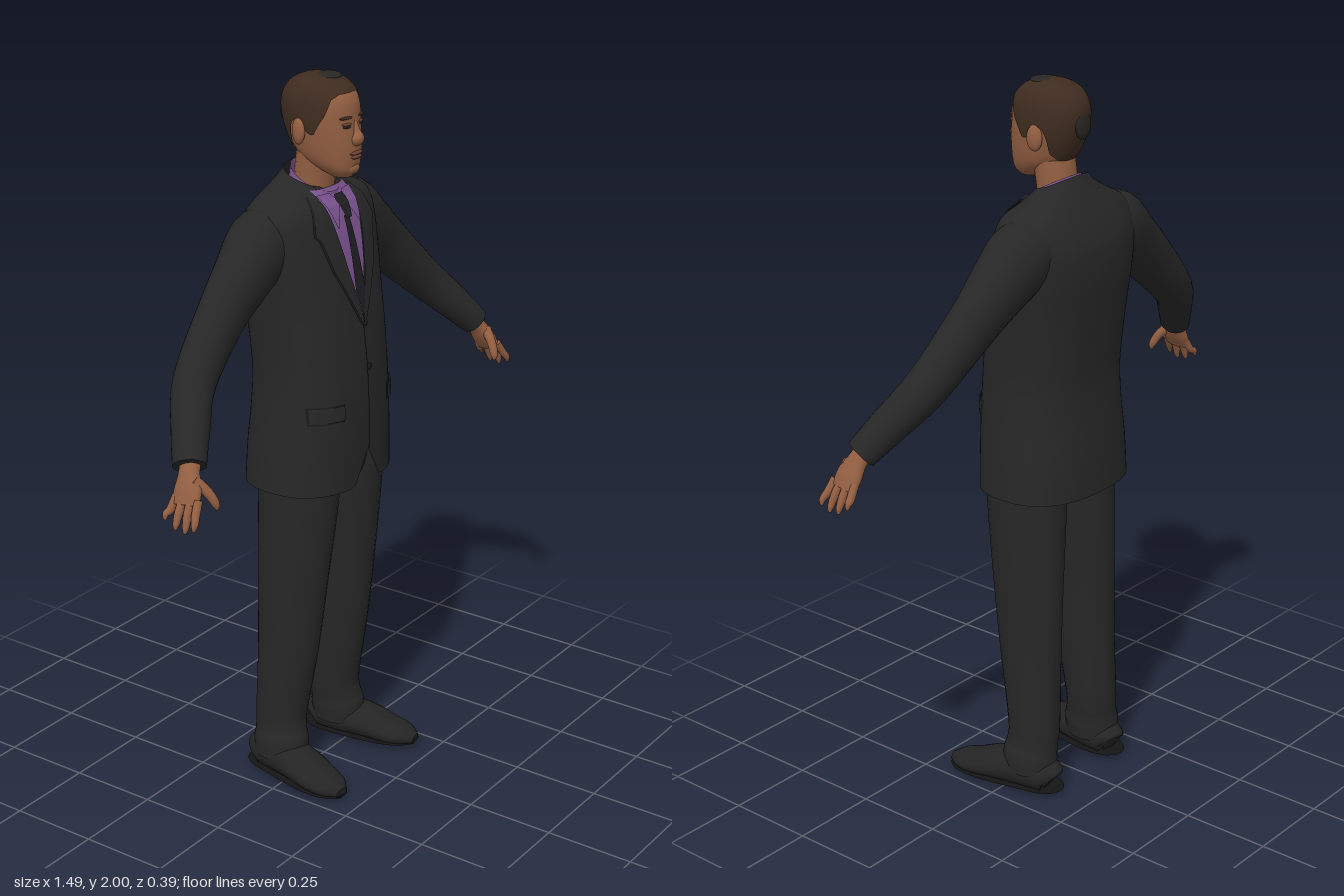
import * as THREE from 'three';

const mat = (name, color, side = THREE.FrontSide) => Object.assign(new THREE.MeshStandardMaterial({ color, side }), { name });
const D = THREE.DoubleSide, V = (x, y, z) => new THREE.Vector3(x, y, z);

// Surface through closed rings of points, with optional flat caps
function loft(rings, caps = true) {
  const n = rings[0].length, pos = [], idx = [];
  const put = (p) => pos.push(p.x, p.y, p.z) / 3 - 1;
  rings.forEach((r) => r.forEach(put));
  for (let i = 0; i < rings.length - 1; i++) for (let j = 0; j < n; j++) {
    const a = i * n + j, b = i * n + (j + 1) % n;
    idx.push(a, b, b + n, a, b + n, a + n);
  }
  if (caps) [rings[0], rings[rings.length - 1]].forEach((r, end) => {
    const c = put(r.reduce((s, p) => s.add(p), V(0, 0, 0)).divideScalar(n));
    r.forEach(put);
    for (let j = 0; j < n; j++) {
      const a = c + 1 + j, b = c + 1 + (j + 1) % n;
      idx.push(c, ...(end ? [a, b] : [b, a]));
    }
  });
  return geometry(pos, idx);
}
function geometry(pos, idx) {
  const g = new THREE.BufferGeometry();
  g.setAttribute('position', new THREE.Float32BufferAttribute(pos, 3));
  g.setIndex(idx);
  g.computeVertexNormals();
  return g;
}
// Open sheet fn(u, v) -> point
function sheet(fn, nu, nv) {
  const pos = [], idx = [];
  for (let i = 0; i <= nv; i++) for (let j = 0; j <= nu; j++) pos.push(...fn(j / nu, i / nv).toArray());
  for (let i = 0; i < nv; i++) for (let j = 0; j < nu; j++) {
    const a = i * (nu + 1) + j, c = a + nu + 1;
    idx.push(a, a + 1, c + 1, a, c + 1, c);
  }
  return geometry(pos, idx);
}
// Smooth interpolation of rows [key, ...values]
function at(rows, y) {
  let i = 0;
  while (i < rows.length - 2 && y > rows[i + 1][0]) i++;
  const L = rows.length - 1, h = rows[i + 1][0] - rows[i][0], t = Math.min(1, Math.max(0, (y - rows[i][0]) / h));
  const slope = (k, c) => {
    const a = rows[Math.max(0, k - 1)], b = rows[Math.min(L, k + 1)];
    return (b[c] - a[c]) / (b[0] - a[0]);
  };
  return rows[i].slice(1).map((v, k) => {
    const c = k + 1, w = rows[i + 1][c], t2 = t * t, t3 = t2 * t;
    return v * (2 * t3 - 3 * t2 + 1) + w * (3 * t2 - 2 * t3) + h * (slope(i, c) * (t3 - 2 * t2 + t) + slope(i + 1, c) * (t3 - t2));
  });
}
const lerpRows = (rows, y) => {
  let i = 0;
  while (i < rows.length - 2 && y > rows[i + 1][0]) i++;
  const t = (y - rows[i][0]) / (rows[i + 1][0] - rows[i][0]);
  return THREE.MathUtils.lerp(rows[i][1], rows[i + 1][1], Math.min(1, Math.max(0, t)));
};
// Limb through stations [x, y, z, radius across, radius along ref]
function limb(st, s = 1, sides = 20, ref = V(0, 0, 1), steps = 4) {
  const rows = st.map((p, i) => [i, p[0] * s, ...p.slice(1)]), rings = [], N = (st.length - 1) * steps;
  for (let i = 0; i <= N; i++) {
    const u = i / steps, [x, y, z, ra, rb] = at(rows, u);
    const t = V(...at(rows, Math.min(u + 0.1, st.length - 1))).sub(V(...at(rows, Math.max(u - 0.1, 0)))).normalize();
    const n = ref.clone().addScaledVector(t, -ref.dot(t)).normalize(), b = t.clone().cross(n);
    rings.push(Array.from({ length: sides }, (_, j) => {
      const a = j / sides * Math.PI * 2;
      return V(x, y, z).addScaledVector(n, rb * Math.cos(a)).addScaledVector(b, ra * Math.sin(a));
    }));
  }
  return loft(rings);
}
// Body cross-section point at angle a (0 = front) from rows [y, half width, z front, z back]
const pw = (v, p) => Math.sign(v) * Math.abs(v) ** p;
function section(rows, a, y, p, grow = 0) {
  const [hw, zf, zb] = at(rows, y);
  return V((hw + grow) * pw(Math.sin(a), p), y, (zf + zb) / 2 + ((zf - zb) / 2 + grow) * pw(Math.cos(a), p));
}
const ring = (n, fn) => Array.from({ length: n }, (_, j) => fn(j / n * Math.PI * 2));

const TORSO = [[0.89, 0.218, 0.145, -0.185], [1, 0.212, 0.146, -0.18], [1.1, 0.205, 0.145, -0.17], [1.2, 0.2, 0.14, -0.165],
  [1.3, 0.202, 0.13, -0.172], [1.4, 0.207, 0.115, -0.182], [1.5, 0.218, 0.097, -0.19], [1.58, 0.226, 0.078, -0.185],
  [1.63, 0.223, 0.062, -0.168], [1.665, 0.203, 0.045, -0.15], [1.7, 0.15, 0.03, -0.13], [1.735, 0.095, 0.02, -0.11], [1.755, 0.078, 0.012, -0.1]];
const HEAD = [[1.735, 0.026, 0.085, 0.03], [1.75, 0.044, 0.099, 0], [1.775, 0.06, 0.103, -0.05], [1.8, 0.068, 0.105, -0.078],
  [1.84, 0.075, 0.104, -0.1], [1.88, 0.08, 0.1, -0.113], [1.92, 0.081, 0.097, -0.117], [1.95, 0.077, 0.086, -0.108],
  [1.975, 0.062, 0.064, -0.088], [1.987, 0.045, 0.043, -0.065], [1.993, 0.027, 0.022, -0.042], [1.996, 0, -0.01, -0.01]];
const HAIRLINE = [[0, 1.958], [0.5, 1.957], [0.8, 1.945], [1.05, 1.9], [1.2, 1.88], [1.4, 1.85], [1.55, 1.855], [1.65, 1.885],
  [1.85, 1.885], [2, 1.86], [2.2, 1.815], [2.6, 1.795], [Math.PI, 1.79]];
const head = (a, y, grow) => section(HEAD, a, y, 0.9, grow);

// Depth of the jacket front, used to lay thin cloth on it
function frontZ(x, y) {
  const [hw, zf, zb] = at(TORSO, y > 1.66 ? 1.66 + (y - 1.66) / 0.5 : y);
  const s = Math.min(1, Math.abs(x) / hw) ** (1 / 0.8);
  return (zf + zb) / 2 + (zf - zb) / 2 * Math.sqrt(1 - s * s) ** 0.8;
}
// Cloth between two edges, each a list of [y, x] rising in y
function cloth(y0, y1, left, right, off) {
  return sheet((u, v) => {
    const y = y0 + (y1 - y0) * v, x = THREE.MathUtils.lerp(left(y), right(y), u);
    return V(x, y, frontZ(x, y) + off);
  }, 10, 28);
}

export function createModel() {
  const model = new THREE.Group();
  const suit = mat('charcoal suit', 0x272727, D), seam = mat('seam black', 0x1a1a1a, D), shirt = mat('purple shirt', 0x7d5491, D);
  const tie = mat('dark tie', 0x1f1f23, D), skin = mat('brown skin', 0x935f42), hair = mat('dark brown hair', 0x3f2c20, D);
  const crown = mat('hair shade', 0x292624), lip = mat('lip and lid', 0x6e4233), shoe = mat('shoe black', 0x242424), sole = mat('sole black', 0x151515);
  const add = (name, geo, m) => {
    const mesh = new THREE.Mesh(geo, m);
    mesh.name = name;
    model.add(mesh);
    return mesh;
  };
  const blob = (name, m, p, sx, sy, sz, ry = 0) => {
    const b = add(name, new THREE.SphereGeometry(1, 20, 14).scale(sx, sy, sz), m);
    b.position.copy(p);
    b.rotation.y = ry;
  };

  // Jacket body: neck opening dips at the front, hem parts in a small notch
  const rings = [];
  for (let i = 0; i <= 52; i++) rings.push(ring(72, (a) => {
    const p = section(TORSO, a, 0.89 + 0.865 * i / 52, 0.8);
    if (p.y > 1.66) p.y -= (p.y - 1.66) * 0.55 * (0.5 + 0.5 * Math.cos(a));
    if (p.z > 0 && p.y < 1) p.y += (1 - p.y) * 0.9 * Math.max(0, 1 - Math.abs(p.x) / 0.058);
    return p;
  }));
  add('jacketBody', loft(rings, false), suit);
  add('trouserSeat', limb([[0, 0.875, -0.012, 0.17, 0.1], [0, 0.93, -0.012, 0.192, 0.115], [0, 1.03, -0.012, 0.19, 0.12]]), suit);

  // Shirt front, tie, lapels, closure
  const vee = (y) => lerpRows([[1.36, 0.001], [1.5, 0.038], [1.6, 0.057], [1.7, 0.073]], y);
  const lapelEdge = (y) => lerpRows([[1.34, 0.006], [1.5, 0.09], [1.59, 0.118], [1.6, 0.132], [1.66, 0.112], [1.7, 0.085]], y);
  add('shirtFront', cloth(1.36, 1.7, (y) => -vee(y), vee, 0.004), shirt);
  const tieHalf = (y) => Math.min(vee(y), lerpRows([[1.45, 0.02], [1.625, 0.011]], y));
  add('tieBlade', cloth(1.37, 1.63, (y) => -tieHalf(y), tieHalf, 0.009), tie);
  const knot = (y) => lerpRows([[1.625, 0.012], [1.672, 0.023], [1.685, 0.018]], y);
  add('tieKnot', cloth(1.625, 1.685, (y) => -knot(y), knot, 0.017), tie);
  add('frontSeam', cloth(0.99, 1.36, () => -0.003, () => 0.002, 0.003), seam);
  for (const y of [1.22, 1.34]) blob('jacketButton', seam, V(0.01, y, frontZ(0, y) + 0.002), 0.009, 0.009, 0.005);

  // Neck and shirt collar
  add('neck', limb([[0, 1.64, -0.035, 0.052, 0.05], [0, 1.72, -0.03, 0.055, 0.055], [0, 1.82, -0.015, 0.058, 0.055]]), skin);
  add('shirtCollar', loft([0, 1].map((k) => ring(40, (a) =>
    V((0.074 - 0.01 * k) * Math.sin(a), 1.672 + 0.052 * k - 0.034 * Math.cos(a), -0.03 + (0.07 - 0.006 * k) * Math.cos(a)))), false), shirt);

  // Head, hair cap and face
  const TOP = 1.996, ease = (y0, v) => TOP - (TOP - y0) * (1 - v) ** 2;
  add('head', loft(Array.from({ length: 41 }, (_, i) => ring(48, (a) => head(a, ease(1.735, i / 40))))), skin);
  add('hair', sheet((u, v) => {
    const a = u * Math.PI * 2, y = ease(lerpRows(HAIRLINE, Math.min(a, Math.PI * 2 - a)), v), p = head(a, y, 0.004 * (1 - v));
    p.y += 0.004 * v;
    return p;
  }, 96, 24), hair);
  blob('crownShade', crown, V(0.005, 1.992, 0.008), 0.036, 0.009, 0.038);
  blob('backShade', crown, V(0, 1.887, -0.116), 0.03, 0.035, 0.009);
  add('nose', limb([[0, 1.892, 0.091, 0.008, 0.008], [0, 1.86, 0.099, 0.01, 0.013], [0, 1.84, 0.104, 0.02, 0.019], [0, 1.825, 0.099, 0.015, 0.011]]), skin);
  blob('upperLip', lip, V(0, 1.802, 0.1), 0.026, 0.006, 0.012);
  blob('lowerLip', lip, V(0, 1.792, 0.1), 0.022, 0.007, 0.012);
  blob('chin', skin, V(0, 1.76, 0.088), 0.026, 0.018, 0.018);

  for (const s of [-1, 1]) {
    // Face halves
    blob('eye', crown, head(s * 0.36, 1.874), 0.013, 0.0045, 0.003, s * 0.3);
    blob('eyelid', lip, head(s * 0.36, 1.88), 0.016, 0.004, 0.004, s * 0.3);
    blob('eyebrow', hair, head(s * 0.38, 1.897), 0.021, 0.004, 0.004, s * 0.3);
    blob('ear', skin, V(s * 0.083, 1.857, -0.022), 0.012, 0.035, 0.022, s * 0.25);

    // Lapels, collar wings and pocket flaps
    const side = (fa, fb) => (s > 0 ? [fa, fb] : [(y) => -fb(y), (y) => -fa(y)]);
    add('lapelSeam', cloth(1.34, 1.7, ...side(vee, (y) => lapelEdge(y) + 0.004), 0.004), seam);
    add('lapel', cloth(1.345, 1.7, ...side(vee, lapelEdge), 0.008), suit);
    add('collarWing', cloth(1.605, 1.69, ...side((y) => lerpRows([[1.605, 0.046], [1.67, 0.008], [1.69, 0.03]], y),
      (y) => lerpRows([[1.605, 0.05], [1.69, 0.072]], y)), 0.012), shirt);
    add('pocketSeam', cloth(1.095, 1.145, ...side(() => 0.098, () => 0.186), 0.003), seam);
    add('pocketFlap', cloth(1.1, 1.142, ...side(() => 0.1, () => 0.184), 0.007), suit);

    // Sleeve
    add('sleeve', limb([[0.11, 1.61, -0.07, 0.06, 0.07], [0.19, 1.574, -0.066, 0.097, 0.086], [0.28, 1.508, -0.06, 0.087, 0.074],
      [0.37, 1.437, -0.055, 0.076, 0.06], [0.52, 1.305, -0.03, 0.06, 0.055], [0.61, 1.21, 0.025, 0.05, 0.049], [0.665, 1.145, 0.064, 0.04, 0.044]], s, 28), suit);

    // Hand
    add('palm', limb([[0.645, 1.165, 0.055, 0.026, 0.028], [0.672, 1.13, 0.068, 0.022, 0.029], [0.692, 1.095, 0.079, 0.021, 0.04],
      [0.711, 1.06, 0.085, 0.014, 0.04]], s), skin);
    [[0.12, 0.134, 1.012], [0.098, 0.106, 1.0], [0.074, 0.076, 1.003], [0.052, 0.044, 1.022]].forEach(([z0, z1, y]) =>
      add('finger', limb([[0.703, 1.078, z0, 0.011, 0.011], [0.724, 1.045, (z0 + z1) / 2, 0.011, 0.011],
        [0.737, y + 0.015, z1, 0.009, 0.009], [0.742, y, z1, 0.004, 0.004]], s, 10), skin));
    add('thumb', limb([[0.684, 1.12, 0.092, 0.015, 0.016], [0.668, 1.09, 0.122, 0.013, 0.013], [0.658, 1.06, 0.138, 0.011, 0.011],
      [0.655, 1.043, 0.141, 0.004, 0.004]], s, 12), skin);

    // Trouser leg with a soft break above the shoe
    add('trouserLeg', limb([[0.142, 0.055, -0.05, 0.066, 0.078], [0.139, 0.1, -0.05, 0.069, 0.081], [0.134, 0.135, -0.053, 0.065, 0.076],
      [0.128, 0.2, -0.055, 0.068, 0.076], [0.12, 0.4, -0.037, 0.073, 0.092], [0.115, 0.6, -0.025, 0.081, 0.105],
      [0.104, 0.86, -0.011, 0.096, 0.118], [0.104, 0.96, -0.011, 0.092, 0.116]], s, 28), suit);

    // Shoe and sole share one shape, clipped at the welt
    const shape = [[0.135, 0.04, -0.128, 0.03, 0.036], [0.138, 0.05, -0.11, 0.05, 0.05], [0.148, 0.055, -0.03, 0.06, 0.055],
      [0.163, 0.047, 0.05, 0.063, 0.045], [0.174, 0.034, 0.11, 0.06, 0.034], [0.182, 0.028, 0.16, 0.047, 0.026], [0.187, 0.022, 0.192, 0.02, 0.014]];
    const clipped = (lo, hi, grow) => {
      const g = limb(shape.map(([x, y, z, a, b]) => [x, y, z, a + grow, b + grow]), s, 24, V(0, 1, 0)), p = g.attributes.position;
      for (let i = 0; i < p.count; i++) p.setY(i, Math.min(hi, Math.max(lo, p.getY(i))));
      g.computeVertexNormals();
      return g;
    };
    add('shoe', clipped(0.012, 1, 0), shoe);
    add('shoeSole', clipped(0, 0.014, 0.003), sole);
  }
  return model;
}
